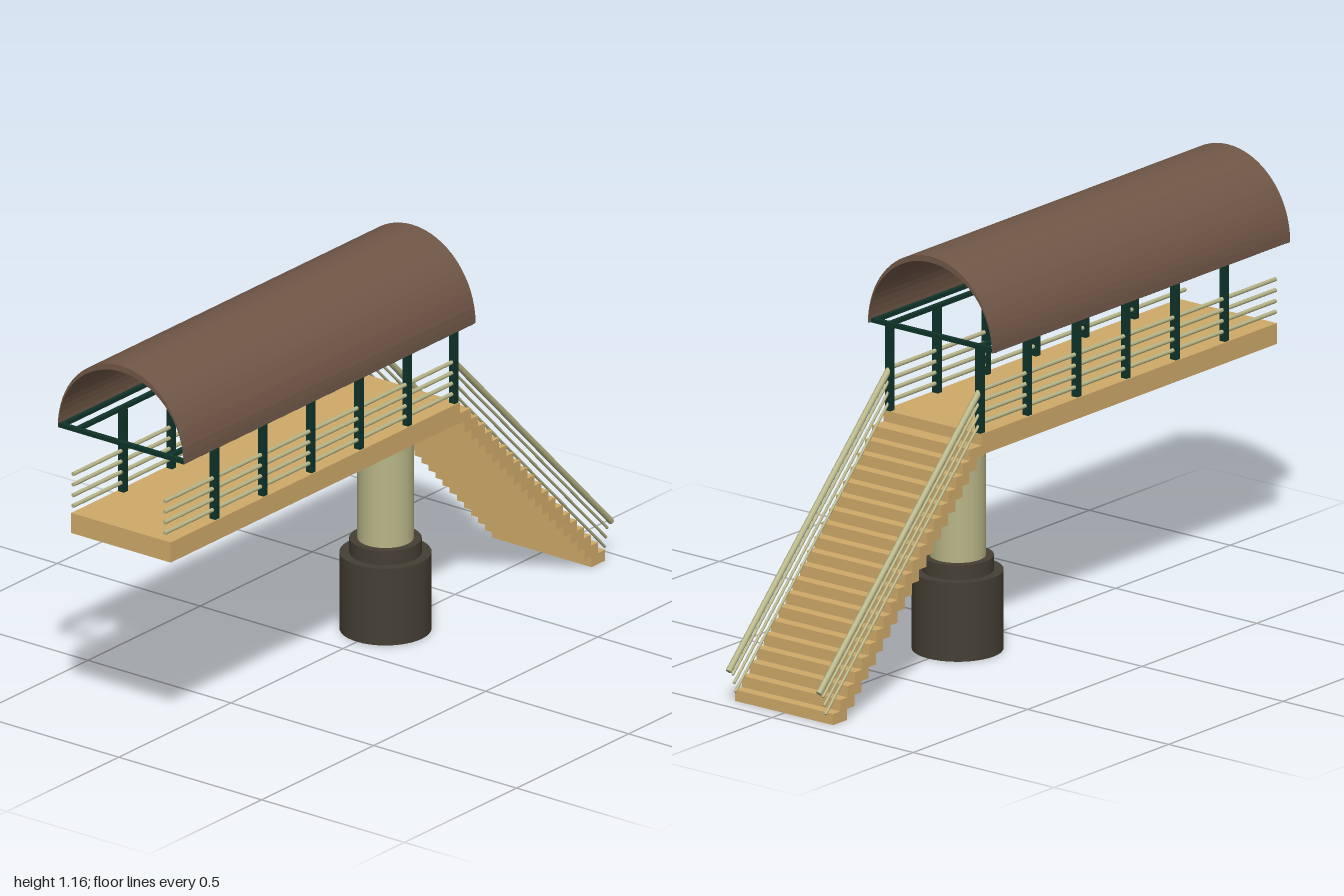
import * as THREE from 'three';

const mat = (name, color, side = THREE.FrontSide) => {
  const m = new THREE.MeshStandardMaterial({ color, side });
  m.name = name;
  return m;
};

export function createModel() {
  const model = new THREE.Group();
  model.name = 'coveredFootbridge';
  const wood = mat('tan wood', 0xcfaa69);
  const steel = mat('dark green steel', 0x0f3329);
  const rail = mat('khaki', 0xb7b587);
  const stone = mat('dark footing', 0x453f34);
  const roofMat = mat('brown roof', 0x705747, THREE.DoubleSide);

  const add = (name, geometry, material, parent = model) => {
    const mesh = new THREE.Mesh(geometry, material);
    mesh.name = name;
    parent.add(mesh);
    return mesh;
  };
  // Box given by its limits on each axis
  const box = (name, material, x0, x1, y0, y1, z0, z1, parent) => {
    const m = add(name, new THREE.BoxGeometry(x1 - x0, y1 - y0, z1 - z0), material, parent);
    m.position.set((x0 + x1) / 2, (y0 + y1) / 2, (z0 + z1) / 2);
    return m;
  };
  // Round bar between two points
  const bar = (name, a, b, radius, parent) => {
    const d = new THREE.Vector3().subVectors(b, a);
    const m = add(name, new THREE.CylinderGeometry(radius, radius, d.length(), 10), rail, parent);
    m.position.addVectors(a, b).multiplyScalar(0.5);
    m.quaternion.setFromUnitVectors(new THREE.Vector3(0, 1, 0), d.normalize());
    return m;
  };
  const group = (name) => {
    const g = new THREE.Group();
    g.name = name;
    model.add(g);
    return g;
  };
  const X0 = -0.99, X1 = 0.30, W = 0.174, BAY = 0.215, Z = 0.16;

  // Deck: slab on an open frame of edge beams and joists
  const deck = group('deck');
  box('deckSlab', wood, X0, X1, 0.657, 0.68, -W, W, deck);
  for (const s of [-1, 1]) {
    const z = s * (W - 0.01);
    box('edgeBeam', wood, X0, X1, 0.62, 0.657, z - 0.01, z + 0.01, deck);
  }
  for (let i = 0; i <= 6; i++) {
    const x = X0 + 0.01 + i * (X1 - X0 - 0.02) / 6;
    box('joist', wood, x - 0.01, x + 0.01, 0.62, 0.657, -W + 0.02, W - 0.02, deck);
  }

  // Stairs: overlapping solid treads
  const stairs = group('stairs');
  const RISE = 0.68 / 21, RUN = 0.0315;
  for (let k = 0; k < 20; k++) {
    const x = 0.948 - k * RUN;
    box('tread', wood, x - 0.061, x, k * RISE, (k + 1) * RISE, -W, W, stairs);
  }

  // Posts and railings on both sides
  const posts = group('posts');
  const railings = group('railings');
  for (const s of [-1, 1]) {
    const z = s * Z;
    for (let i = 0; i < 6; i++) {
      const x = 0.29 - i * BAY + (i ? 0.008 : 0);
      box('post', steel, x - 0.009, x + 0.009, 0.68, 0.925, z - 0.01, z + 0.01, posts);
    }
    for (let i = 0; i < 4; i++) {
      const y = 0.802 - i * 0.0315;
      bar('deckRail', new THREE.Vector3(-1, y, z), new THREE.Vector3(0.295, y, z), 0.006, railings);
      const endX = [0.993, 0.976, 0.97, 0.965][i];
      bar('stairRail', new THREE.Vector3(0.29, y, z),
        new THREE.Vector3(endX, y - (endX - 0.29), z), i ? 0.004 : 0.009, railings);
    }
  }

  // Roof frame: lengthwise bars and end crossbars
  const frame = group('roofFrame');
  for (const z of [-0.213, -Z, Z, 0.213])
    box('lengthBar', steel, X0, 0.3, 0.924, 0.935, z - 0.007, z + 0.007, frame);
  for (const x of [X0 + 0.007, 0.292])
    box('crossBar', steel, x - 0.007, x + 0.007, 0.9235, 0.9355, -0.22, 0.22, frame);

  // Barrel roof: crescent cross-section, thick at the crown
  const N = 32, arc = new THREE.Shape();
  const point = (i, rx, ry) => [rx * Math.cos(Math.PI * i / N), 0.925 + ry * Math.sin(Math.PI * i / N)];
  arc.moveTo(...point(0, 0.221, 0.237));
  for (let i = 1; i <= N; i++) arc.lineTo(...point(i, 0.221, 0.237));
  for (let i = N; i >= 0; i--) arc.lineTo(...point(i, 0.219, 0.219));
  const roofGeo = new THREE.ExtrudeGeometry(arc, { depth: 1.3, bevelEnabled: false });
  roofGeo.rotateY(Math.PI / 2);
  add('barrelRoof', roofGeo, roofMat).position.x = X0;

  // Support column on a stepped round footing
  const round = (name, r, y0, y1, material) =>
    add(name, new THREE.CylinderGeometry(r, r, y1 - y0, 40), material).position.set(0.19, (y0 + y1) / 2, 0);
  round('column', 0.078, 0.26, 0.657, rail);
  round('footingCollar', 0.1, 0.22, 0.27, stone);
  round('footing', 0.127, 0, 0.228, [stone, stone, rail]);

  return model;
}
